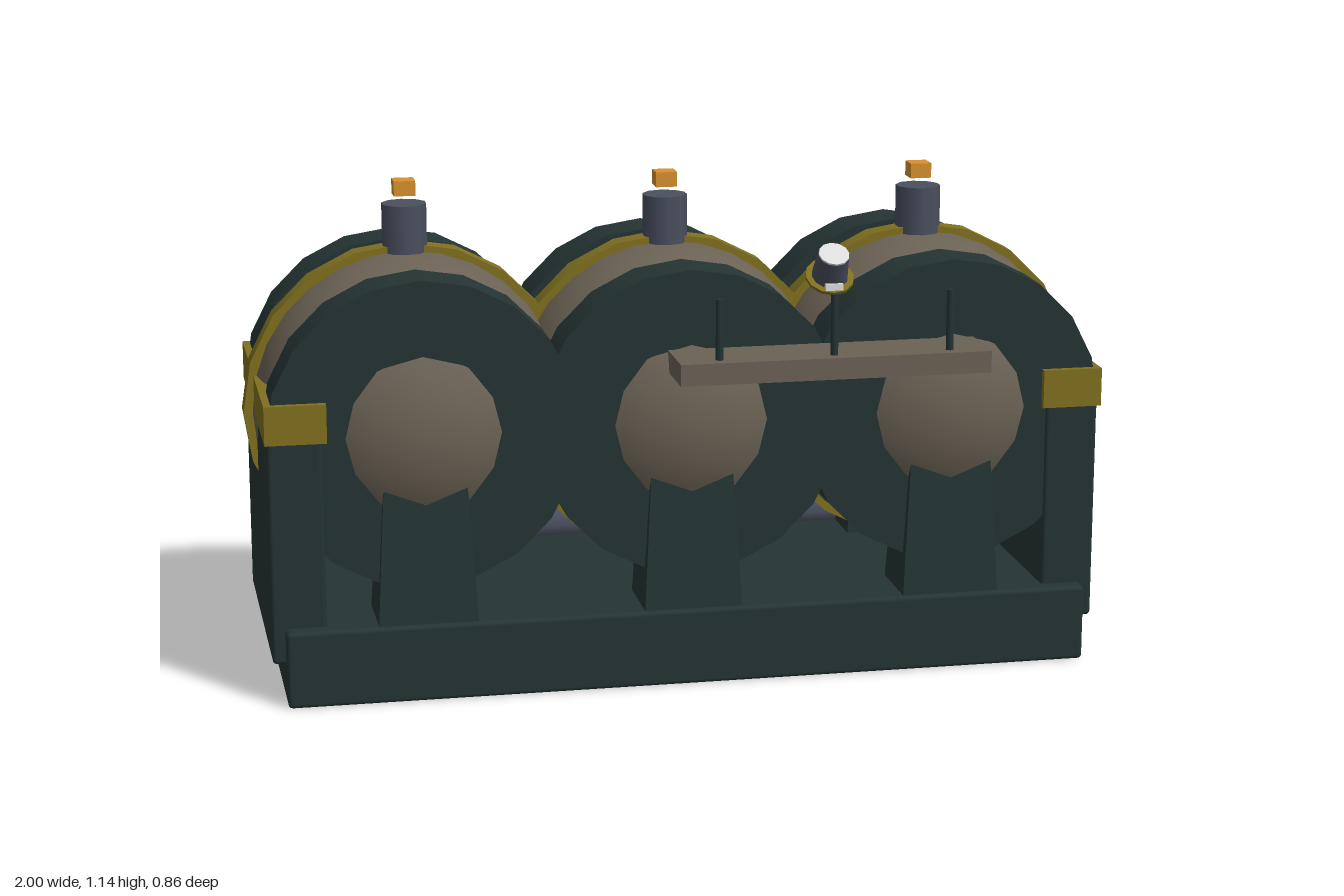
import * as THREE from 'three';
import { RoundedBoxGeometry } from 'three/addons/geometries/RoundedBoxGeometry.js';

const material = (name, color) => {
  const m = new THREE.MeshStandardMaterial({ color });
  m.name = name;
  return m;
};

export function createModel() {
  const green = material('dark green paint', 0x253434);
  const brown = material('tank brown', 0x6b6255);
  const yellow = material('band yellow', 0x80701f);
  const orange = material('cap orange', 0xd99030);
  const steel = material('blue grey steel', 0x4a4f5e);
  const white = material('lamp white', 0xdedede);

  const model = new THREE.Group();
  const MID_Z = -0.0375, MID_Y = 0.615;

  const add = (name, geometry, mat, x, y, z, parent = model) => {
    const mesh = new THREE.Mesh(geometry, mat);
    mesh.name = name;
    mesh.position.set(x, y, z);
    parent.add(mesh);
    return mesh;
  };
  // Box given by its limits on each axis, optionally with rounded edges
  const box = (name, mat, [x0, x1], [y0, y1], [z0, z1], r = 0) => {
    const s = [x1 - x0, y1 - y0, z1 - z0];
    const g = r ? new RoundedBoxGeometry(...s, 2, r) : new THREE.BoxGeometry(...s);
    return add(name, g, mat, (x0 + x1) / 2, (y0 + y1) / 2, (z0 + z1) / 2);
  };
  // Short drum whose axis runs front to back
  const drum = (name, mat, radius, depth, x, z) => {
    const g = new THREE.CylinderGeometry(radius, radius, depth, 20).rotateX(Math.PI / 2);
    return add(name, g, mat, x, MID_Y, z);
  };

  // Base tray
  box('base', green, [-0.94, 0.94], [0, 0.18], [-0.4, 0.325], 0.01);

  // Tapered leg: a box narrowed toward its top
  const legGeometry = new THREE.BoxGeometry(0.23, 0.33, 0.17);
  const p = legGeometry.attributes.position;
  for (let i = 0; i < p.count; i++) {
    if (p.getY(i) > 0) p.setXYZ(i, p.getX(i) * 0.83, p.getY(i), p.getZ(i) * 0.75);
  }
  legGeometry.computeVertexNormals();

  // Three tanks with end rings, centre band, legs and valve
  for (const x of [-0.615, 0, 0.615]) {
    add('tank', new THREE.SphereGeometry(0.368, 20, 14), brown, x, MID_Y, MID_Z);
    drum('tankBand', yellow, 0.385, 0.055, x, MID_Z);
    for (const side of [-1, 1]) {
      drum('tankRing', green, 0.357, 0.125, x, MID_Z + side * 0.255);
      add('leg', legGeometry, green, x, 0.335, MID_Z + side * 0.265);
    }
    add('valve', new THREE.CylinderGeometry(0.053, 0.053, 0.15, 10), steel, x, 1.015, MID_Z);
    add('valveCap', new THREE.BoxGeometry(0.05, 0.035, 0.05), orange, x, 1.1275, MID_Z);
  }

  // End plates with straps
  for (const side of [-1, 1]) {
    const span = (a, b) => (side > 0 ? [a, b] : [-b, -a]);
    box('endPlate', green, span(0.845, 0.97), [0.095, 0.695], [-0.362, 0.287], 0.01);
    box('endStrap', yellow, span(0.835, 0.975), [0.612, 0.702], [-0.372, 0.297]);
  }

  // Rear pipe
  const pipe = new THREE.CylinderGeometry(0.047, 0.047, 1.66, 10).rotateZ(Math.PI / 2);
  add('rearPipe', pipe, steel, 0, 0.203, -0.384);

  // Front shelf with posts
  box('shelf', brown, [-0.055, 0.665], [0.738, 0.788], [0.28, 0.432]);
  for (const x of [0.04, 0.305, 0.575]) {
    add('post', new THREE.CylinderGeometry(0.009, 0.009, 0.145, 8), green, x, 0.855, 0.398);
  }

  // Tilted lamp
  box('lampBracket', white, [0.285, 0.325], [0.935, 0.95], [0.33, 0.395]);
  const lamp = new THREE.Group();
  lamp.name = 'lamp';
  lamp.position.set(0.305, 0.957, 0.345);
  lamp.rotation.x = 0.58;
  model.add(lamp);
  add('lampFlange', new THREE.CylinderGeometry(0.056, 0.056, 0.008, 12), yellow, 0, 0, 0, lamp);
  add('lampBody', new THREE.CylinderGeometry(0.036, 0.042, 0.066, 12), steel, 0, 0.036, 0, lamp);
  add('lampLens', new THREE.CylinderGeometry(0.035, 0.035, 0.004, 12), white, 0, 0.071, 0, lamp);

  return model;
}
